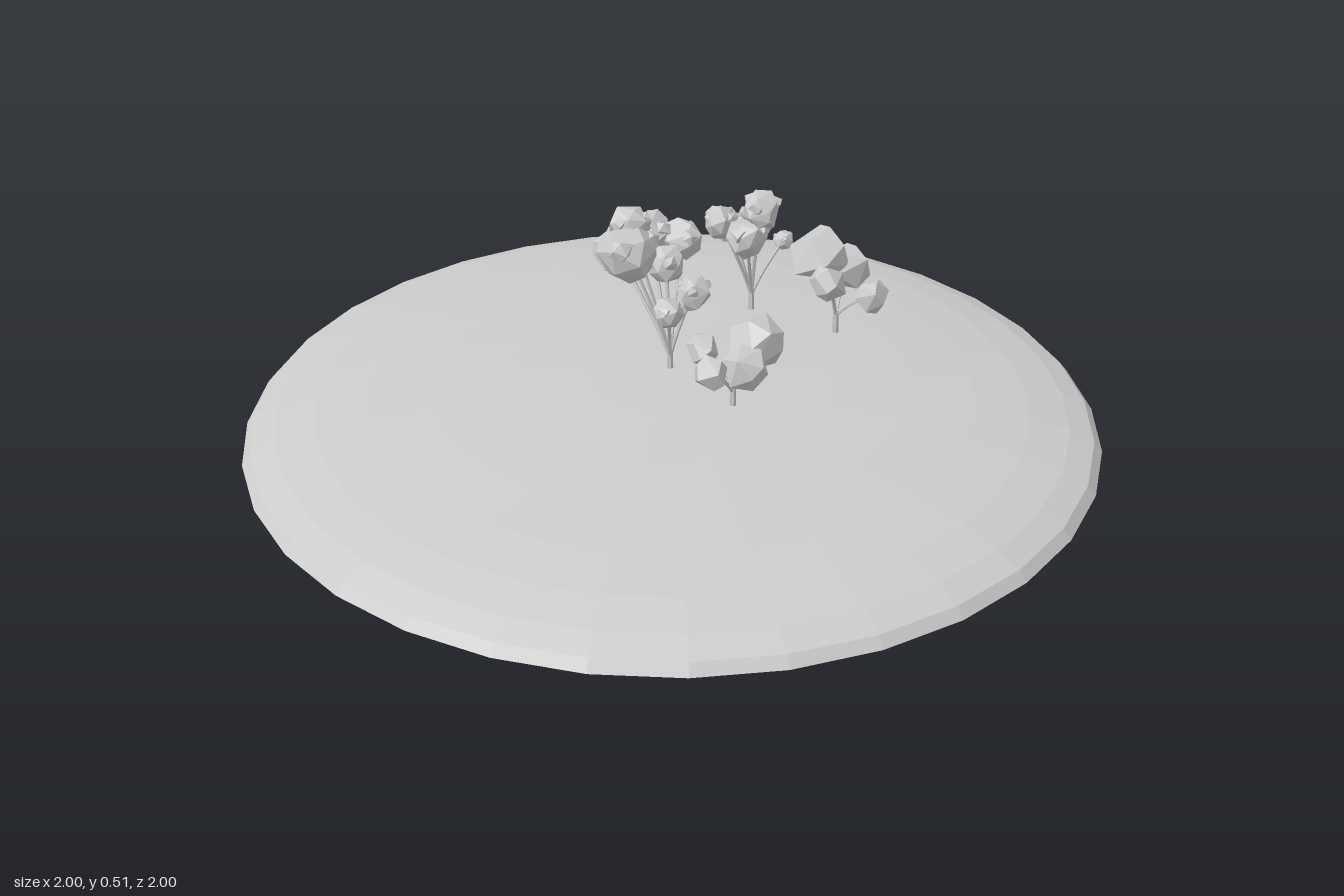
import * as THREE from 'three';
import { ConvexGeometry } from 'three/addons/geometries/ConvexGeometry.js';

const material = new THREE.MeshStandardMaterial({ color: 0xcccccc, flatShading: true });
const openMaterial = new THREE.MeshStandardMaterial({ color: 0xcccccc, flatShading: true, side: THREE.DoubleSide });

function seeded(seed) {
  return () => {
    seed = (seed * 16807) % 2147483647;
    return seed / 2147483647;
  };
}

function addMesh(parent, name, geometry, mat = material) {
  const mesh = new THREE.Mesh(geometry, mat);
  mesh.name = name;
  parent.add(mesh);
  return mesh;
}

// Faceted leaf clump: hull of uneven points spread around a sphere
function clumpGeometry(center, radius, corners, random) {
  const points = [];
  const turn = random() * Math.PI * 2;
  for (let i = 0; i < corners; i++) {
    const v = 1 - (2 * (i + 0.5)) / corners;
    const ring = Math.sqrt(1 - v * v);
    const a = turn + i * 2.4 + (random() - 0.5) * 0.7;
    const offset = new THREE.Vector3(Math.cos(a) * ring, v, Math.sin(a) * ring);
    points.push(offset.multiplyScalar(radius * (0.92 + random() * 0.2)).add(center));
  }
  return new ConvexGeometry(points);
}

// Tree with a trunk at (x, z), and a branch for each clump [x, y, z, radius];
// knobs is the number of small lumps growing on each clump
function createTree(name, [x, z], knobs, clumps, random) {
  const tree = new THREE.Group();
  tree.name = name;
  const rootY = 0.07;
  const forkY = 0.165;
  const corners = knobs > 0 ? 20 : 14;

  const trunk = addMesh(tree, 'trunk', new THREE.CylinderGeometry(0.007, 0.009, forkY - rootY, 6));
  trunk.position.set(x, (forkY + rootY) / 2, z);
  const fork = new THREE.Vector3(x, forkY - 0.015, z);

  clumps.forEach(([cx, cy, cz, radius], i) => {
    // Curved branch from the fork up into the clump
    const center = new THREE.Vector3(cx, cy, cz);
    const bend = fork.clone().lerp(center, 0.35);
    bend.y += 0.02;
    const path = new THREE.QuadraticBezierCurve3(fork, bend, center);
    addMesh(tree, `branch${i + 1}`, new THREE.TubeGeometry(path, 5, 0.0045, 5));
    addMesh(tree, `leafClump${i + 1}`, clumpGeometry(center, radius, corners, random));

    // Small lumps on the upper side of the clump
    for (let k = 0; k < knobs; k++) {
      const a = i * 2.4 + (k * Math.PI * 2) / knobs;
      const offset = new THREE.Vector3(Math.cos(a), 0.5, Math.sin(a)).setLength(radius * 0.75);
      addMesh(tree, 'leafKnob', clumpGeometry(center.clone().add(offset), radius * 0.42, 10, random));
    }
  });
  return tree;
}

export function createModel() {
  const model = new THREE.Group();
  model.name = 'treesOnMound';

  // Low hollow dome, open underneath
  const ground = new THREE.SphereGeometry(1, 32, 8, 0, Math.PI * 2, 0, Math.PI / 2);
  ground.scale(1, 0.12, 1);
  addMesh(model, 'ground', ground, openMaterial);

  const random = seeded(4711);
  model.add(
    createTree('tallTree', [0, -0.02], 3, [
      [-0.09, 0.41, -0.06, 0.068],
      [-0.08, 0.46, -0.09, 0.05],
      [-0.1, 0.38, -0.14, 0.055],
      [-0.02, 0.41, -0.15, 0.055],
      [0.05, 0.4, -0.12, 0.05],
      [0.0, 0.37, -0.06, 0.045],
      [0.05, 0.32, 0.0, 0.042],
      [-0.02, 0.3, 0.05, 0.036],
    ], random),
    createTree('frontTree', [0.1, 0.18], 0, [
      [0.16, 0.26, 0.16, 0.068],
      [0.12, 0.23, 0.22, 0.054],
      [0.045, 0.23, 0.11, 0.04],
      [0.035, 0.23, 0.225, 0.04],
    ], random),
    createTree('backTree', [0.27, -0.29], 3, [
      [0.27, 0.41, -0.22, 0.05],
      [0.23, 0.35, -0.2, 0.05],
      [0.18, 0.37, -0.26, 0.042],
      [0.22, 0.33, -0.32, 0.045],
      [0.29, 0.34, -0.32, 0.045],
      [0.35, 0.29, -0.29, 0.025],
    ], random),
    createTree('sideTree', [0.44, -0.13], 0, [
      [0.41, 0.29, -0.19, 0.075],
      [0.48, 0.25, -0.19, 0.065],
      [0.4, 0.27, -0.075, 0.046],
      [0.51, 0.22, -0.08, 0.042],
    ], random),
  );
  return model;
}
